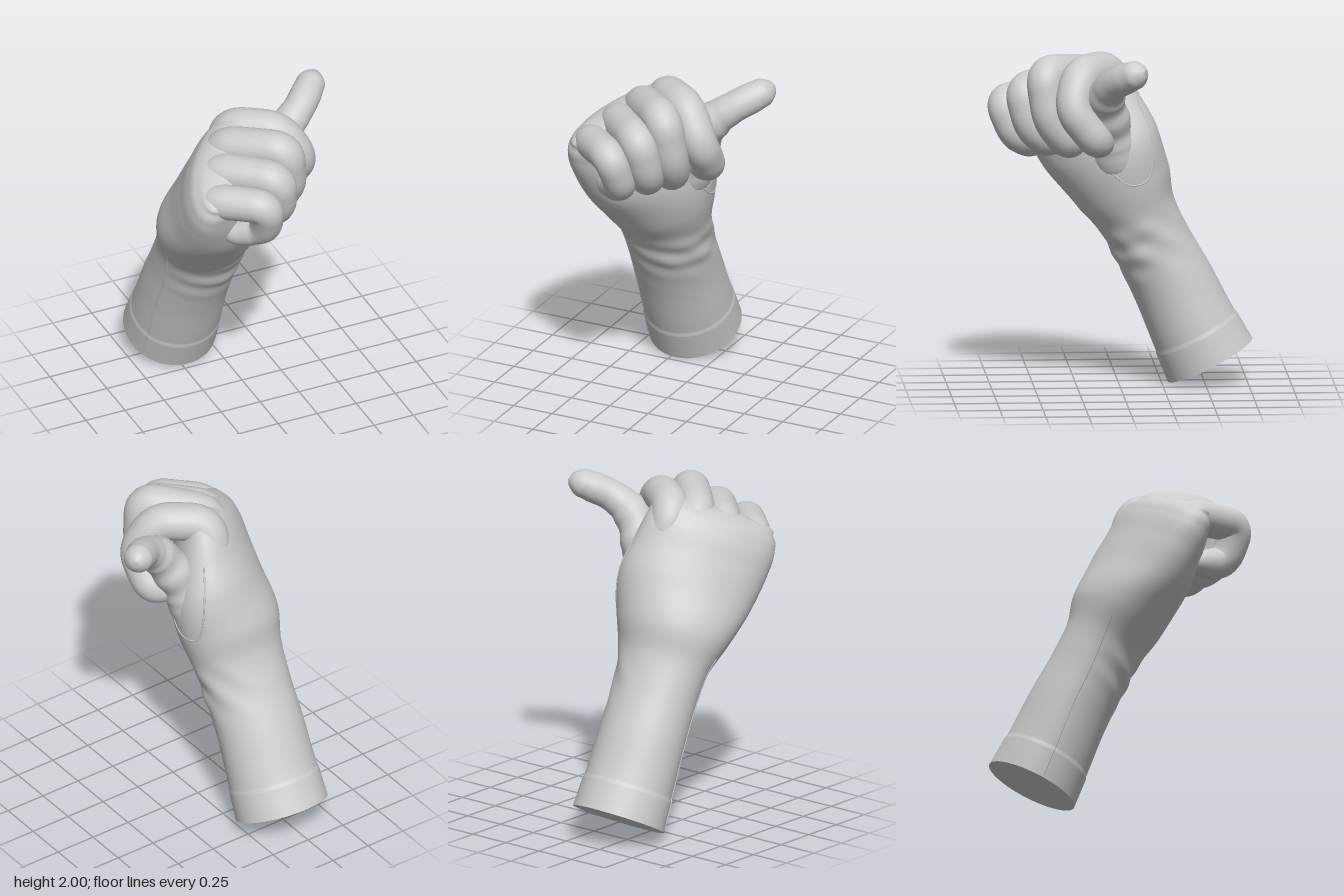
import * as THREE from 'three';

const material = new THREE.MeshStandardMaterial({ color: 0xcccccc, side: THREE.DoubleSide });
const vec = (p) => new THREE.Vector3(...p);

// Frame of the tilted forearm: origin at the cuff, axis up the arm, back away from the palm.
const base = new THREE.Vector3(-0.215, 0.125, -0.535);
const axis = new THREE.Vector3(0, 0.89, 0.455).normalize();
const side = new THREE.Vector3(1, 0, 0);
const back = new THREE.Vector3().crossVectors(axis, side);

// Cross-sections: distance along arm, then centre (side, back), half axes, twist.
const sections = [
  [0, 0, 0, 0.272, 0.272, 0],
  [0.25, 0, 0.005, 0.266, 0.255, 0],
  [0.5, 0, 0.015, 0.262, 0.242, 0],
  [0.78, 0.008, 0.012, 0.266, 0.232, 0],
  [0.97, 0.015, 0.015, 0.288, 0.238, 0.15],
  [1.15, 0.015, 0.02, 0.342, 0.28, 0.45],
  [1.4, 0.02, 0.01, 0.405, 0.27, 0.8],
  [1.6, -0.01, 0, 0.41, 0.23, 0.9],
  [1.75, -0.03, 0, 0.4, 0.195, 0.93],
  [1.84, -0.025, 0, 0.37, 0.16, 0.93],
  [1.9, -0.01, 0, 0.28, 0.08, 0.93],
  [1.92, 0, 0, 0.05, 0.01, 0.93],
];
const spline = new THREE.CubicInterpolant(
  sections.map((r) => r[0]), sections.flatMap((r) => r.slice(1)), 5, new Float32Array(5));

// Point on the sleeve and palm surface, with a hem and slanted folds at the wrist.
function armPoint(s, phi) {
  const [cp, cq, a, b, twist] = spline.evaluate(s);
  const hem = s < 0.19 ? 0.005 : 0;
  const near = Math.exp(-(((s - 0.82) / 0.14) ** 2));
  const front = 0.025 * Math.sin(s * 40 + 3 * Math.cos(phi)) * Math.max(0, Math.cos(phi + 1.2));
  const thumbSide = 0.022 * Math.sin(s * 22 + phi * 7) * Math.max(0, Math.cos(phi - 0.1));
  const k = 1 + near * (front + thumbSide);
  const u = (Math.max(a, 0.004) * k + hem) * Math.cos(phi - twist);
  const v = (Math.max(b, 0.004) * k + hem) * Math.sin(phi - twist);
  return base.clone()
    .addScaledVector(axis, s)
    .addScaledVector(side, cp + u * Math.cos(twist) - v * Math.sin(twist))
    .addScaledVector(back, cq + u * Math.sin(twist) + v * Math.cos(twist));
}

// Smooth skin over rings of points.
function loft(name, rows, cols, point) {
  const positions = [], index = [];
  for (let i = 0; i <= rows; i++) {
    for (let j = 0; j < cols; j++) positions.push(...point(i / rows, (j / cols) * Math.PI * 2, i).toArray());
  }
  for (let i = 0; i < rows; i++) {
    for (let j = 0; j < cols; j++) {
      const a = i * cols + j, b = i * cols + ((j + 1) % cols);
      index.push(a, b, b + cols, a, b + cols, a + cols);
    }
  }
  const geometry = new THREE.BufferGeometry();
  geometry.setAttribute('position', new THREE.Float32BufferAttribute(positions, 3));
  geometry.setIndex(index);
  geometry.computeVertexNormals();
  const mesh = new THREE.Mesh(geometry, material);
  mesh.name = name;
  return mesh;
}

// Straight bones with short bends at the joints.
function jointed(joints, bend) {
  const pts = joints.map(vec), path = new THREE.CurvePath();
  let from = pts[0];
  for (let i = 1; i < pts.length - 1; i++) {
    const cut = (q) => pts[i].clone().lerp(q, Math.min(0.45, bend / pts[i].distanceTo(q)));
    const a = cut(pts[i - 1]), b = cut(pts[i + 1]);
    path.add(new THREE.LineCurve3(from, a));
    path.add(new THREE.QuadraticBezierCurve3(a, pts[i], b));
    from = b;
  }
  path.add(new THREE.LineCurve3(from, pts[pts.length - 1]));
  return new THREE.CatmullRomCurve3(path.getSpacedPoints(50));
}

// Round-ended digit along a curve; radii are spread evenly over its length.
function digit(name, curve, radii) {
  const n = 80, length = curve.getLength();
  const { normals, binormals } = curve.computeFrenetFrames(n);
  return loft(name, n, 28, (t, phi, i) => {
    const x = t * (radii.length - 1), k = Math.min(Math.floor(x), radii.length - 2);
    const r = THREE.MathUtils.lerp(radii[k], radii[k + 1], THREE.MathUtils.smoothstep(x - k, 0, 1));
    const d = Math.min(1, Math.min(t, 1 - t) * length / r);
    const rr = Math.max(0.002, r * Math.sqrt(1 - (1 - d) ** 2));
    return curve.getPointAt(t)
      .addScaledVector(normals[i], rr * Math.cos(phi))
      .addScaledVector(binormals[i], rr * Math.sin(phi));
  });
}

// Raised stitching that follows the surface.
function seam(name, points) {
  const guide = new THREE.CatmullRomCurve3(points.map(([s, phi]) => new THREE.Vector3(s, phi, 0)));
  const onSkin = guide.getPoints(50).map((p) => armPoint(p.x, p.y));
  const mesh = new THREE.Mesh(
    new THREE.TubeGeometry(new THREE.CatmullRomCurve3(onSkin), 100, 0.005, 6), material);
  mesh.name = name;
  return mesh;
}

export function createModel() {
  const group = new THREE.Group();
  group.name = 'glovedHand';

  // Sleeve, wrist and palm in one skin, closed flat at the cuff.
  group.add(loft('sleeveAndPalm', 160, 80, (t, phi) => armPoint(t * 1.92, phi)));
  const end = new THREE.Mesh(new THREE.CircleGeometry(0.277, 80), material);
  end.name = 'cuffEnd';
  end.position.copy(base);
  end.quaternion.setFromUnitVectors(new THREE.Vector3(0, 0, 1), axis.clone().negate());
  group.add(end);

  // Curled fingers: root inside the palm, knuckle, middle joint, end joint, tip.
  const fingers = {
    indexFinger: [[-0.12, 1.63, -0.02], [-0.11, 1.86, 0.07], [0.12, 1.87, 0.24], [0.235, 1.68, 0.3],
      [0.23, 1.48, 0.15], [0.08, 1.46, 0.1]],
    middleFinger: [[-0.22, 1.6, 0.1], [-0.21, 1.82, 0.18], [0.07, 1.87, 0.45], [0.11, 1.6, 0.42],
      [0.07, 1.45, 0.31], [-0.08, 1.45, 0.24]],
    ringFinger: [[-0.31, 1.54, 0.2], [-0.31, 1.74, 0.3], [-0.03, 1.76, 0.57], [0, 1.54, 0.52],
      [-0.04, 1.45, 0.42], [-0.17, 1.45, 0.36]],
    littleFinger: [[-0.4, 1.46, 0.31], [-0.41, 1.655, 0.46], [-0.155, 1.675, 0.685], [-0.125, 1.48, 0.61],
      [-0.18, 1.43, 0.53], [-0.33, 1.39, 0.45]],
  };
  for (const [name, joints] of Object.entries(fingers)) {
    const w = name === 'littleFinger' ? 0.92 : 1;
    const radii = [0.1, 0.11, 0.112, 0.11, 0.105, 0.1, 0.07].map((r) => r * w);
    group.add(digit(name, jointed(joints, 0.09), radii));
  }

  // Thumb growing from the fleshy base of the palm, with folds where it leaves the fist.
  const thumbPath = [[-0.02, 1.22, -0.02], [0.03, 1.4, 0.03], [0.11, 1.58, 0.07], [0.21, 1.74, 0.1],
    [0.33, 1.84, 0.06], [0.43, 1.9, -0.02], [0.52, 1.95, -0.11]];
  group.add(digit('thumb', new THREE.CatmullRomCurve3(thumbPath.map(vec), false, 'centripetal'),
    [0.14, 0.145, 0.145, 0.135, 0.118, 0.126, 0.112, 0.114, 0.098, 0.092, 0.092, 0.085, 0.058]));

  // Stitching around the thumb base and down the sleeve.
  group.add(seam('thumbSeam', [[1.5, -0.35], [1.35, -0.25], [1.22, -0.05], [1.17, 0.2], [1.18, 0.5],
    [1.3, 0.75], [1.45, 0.88], [1.6, 0.92]]));
  group.add(seam('sleeveSeam', [[0.02, -2.6], [0.4, -2.65], [0.8, -2.7], [1.05, -2.8]]));
  return group;
}
